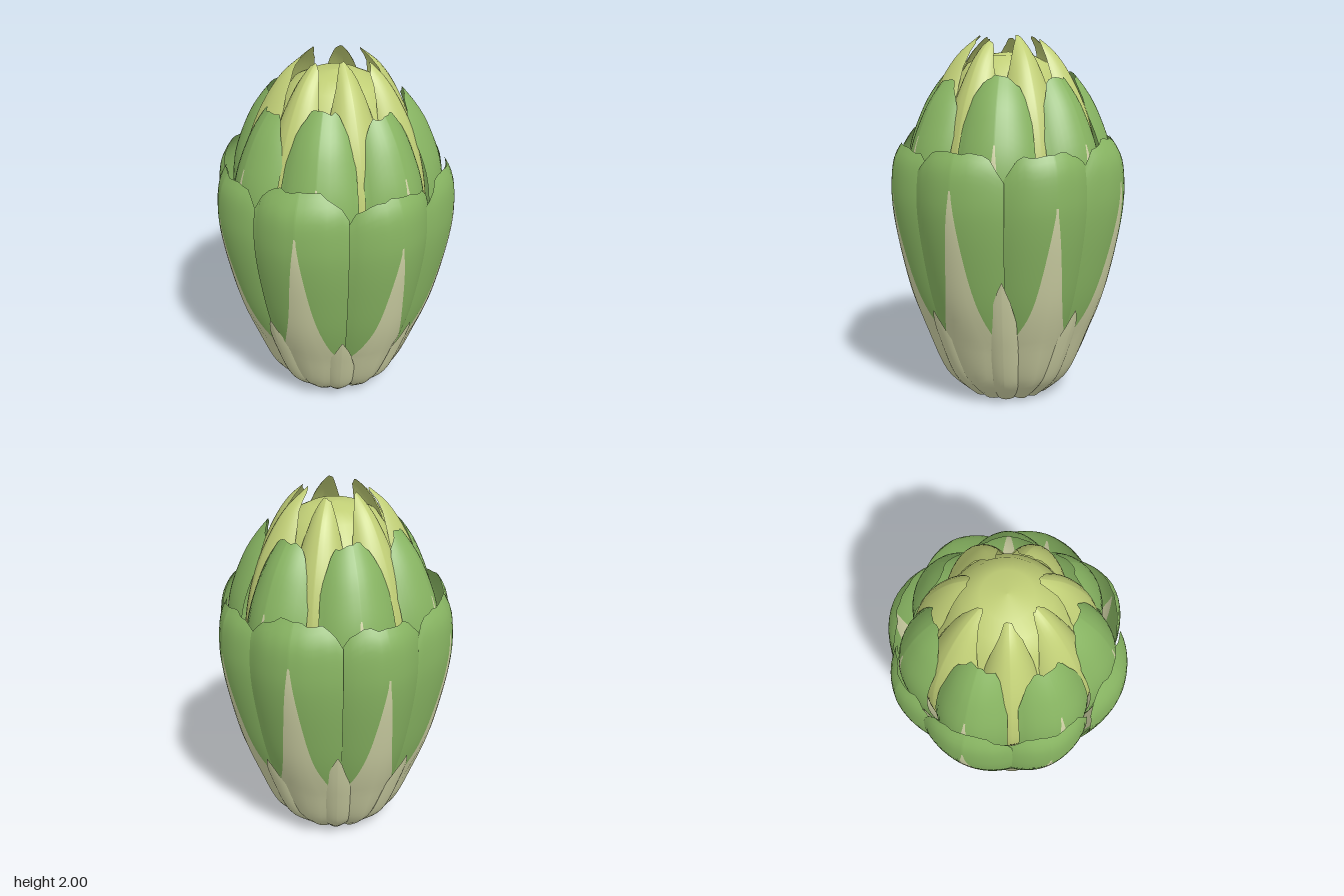
import * as THREE from 'three';

const mat = (name, color) => {
  const m = new THREE.MeshStandardMaterial({ color, side: THREE.DoubleSide });
  m.name = name;
  return m;
};

// Spline running up the middle of a leaf, as (radius, height)
const spine = (...pts) => new THREE.SplineCurve(pts.map(([r, y]) => new THREE.Vector2(r, y)));

const RIB_COLS = 4, SIDE_COLS = 7, ROWS = 40;
const COLS = RIB_COLS + 2 * SIDE_COLS;
const MIN_RIB = 0.02, MAX_RIB = 0.97;

// Half width of the pale rib, as a share of the leaf's half width
function ribWidth(y, o) {
  if (!o.ribTop) return MIN_RIB;
  const k = (o.ribTop - y) / (o.ribTop - o.ribBase);
  if (k <= 0) return MIN_RIB;
  return Math.min(MAX_RIB, Math.max(MIN_RIB, 0.44 * k + 0.56 * k ** 6));
}

// One curved leaf; columns follow the rib edge so the two colours meet cleanly
function leafGeometry(o) {
  const pos = [], blade = [], rib = [], cut = [];
  for (let j = 0; j <= ROWS; j++) {
    const v = j / ROWS;
    const h = ribWidth(o.spine.getPointAt(v * o.length).y, o);
    const half = o.half * (o.base + (1 - o.base) * Math.min(1, v * 3)); // narrower at the base
    cut.push(h);
    for (let i = 0; i <= COLS; i++) {
      let u;
      if (i < SIDE_COLS) u = -1 + (1 - h) * i / SIDE_COLS;
      else if (i <= SIDE_COLS + RIB_COLS) u = -h + 2 * h * (i - SIDE_COLS) / RIB_COLS;
      else u = h + (1 - h) * (i - SIDE_COLS - RIB_COLS) / SIDE_COLS;
      // rounded or pointed tip with a slightly ragged margin
      const ragged = o.ragged * (Math.sin(7 * u + o.seed * 2.3) + 0.6 * Math.sin(15 * u + o.seed)) * Math.min(1, 4 * Math.abs(u));
      const top = o.length * (1 - o.drop * Math.abs(u) ** o.power + ragged);
      const p = o.spine.getPointAt(Math.min(1, v * top));
      const r = p.x - o.bulge * Math.abs(u) ** 1.7 * (0.5 + 0.5 * v);
      const a = o.angle + u * half;
      pos.push(r * Math.sin(a), p.y, r * Math.cos(a));
    }
  }
  for (let j = 0; j < ROWS; j++) {
    for (let i = 0; i < COLS; i++) {
      const a = j * (COLS + 1) + i, b = a + 1, d = a + COLS + 1, c = d + 1;
      const middle = i >= SIDE_COLS && i < SIDE_COLS + RIB_COLS;
      const pale = middle ? cut[j] > MIN_RIB : cut[j + 1] >= MAX_RIB;
      (pale ? rib : blade).push(a, b, c, a, c, d);
    }
  }
  const g = new THREE.BufferGeometry();
  g.setAttribute('position', new THREE.Float32BufferAttribute(pos, 3));
  g.setIndex([...blade, ...rib]);
  g.addGroup(0, blade.length, 0);
  g.addGroup(blade.length, rib.length, 1);
  g.computeVertexNormals();
  return g;
}

export function createModel() {
  const green = mat('leafGreen', 0x88b562);
  const pale = mat('ribCream', 0xd0d3a6);
  const yellow = mat('heartYellow', 0xc2d077);
  const model = new THREE.Group();
  model.name = 'leafyCabbage';

  // A ring of leaves at the given angles in degrees; 'odd' overrides every second leaf
  function ring(name, angles, lengths, materials, opts, odd = {}) {
    const group = new THREE.Group();
    group.name = name + 'Ring';
    angles.forEach((deg, k) => {
      const mesh = new THREE.Mesh(leafGeometry({
        ...opts,
        ...(k % 2 ? odd : {}),
        seed: k + angles.length,
        angle: THREE.MathUtils.degToRad(deg),
        length: lengths[k]
      }), materials);
      mesh.name = name;
      group.add(mesh);
    });
    model.add(group);
  }

  // Big outer leaves
  ring('outerLeaf', [-1, 48, 90, 138, 181, 226, 269, 310], [1, 0.965, 0.965, 0.96, 0.99, 0.965, 0.975, 0.965], [green, pale], {
    spine: spine([0.235, 0], [0.372, 0.14], [0.482, 0.4], [0.56, 0.62], [0.615, 0.85], [0.65, 1.05], [0.659, 1.2], [0.64, 1.36], [0.57, 1.48]),
    half: 0.425, base: 0.5, bulge: 0.045, drop: 0.09, power: 3.5, ragged: 0.008,
    ribTop: 1.28, ribBase: 0.38
  }, { bulge: 0.07, ribTop: 1.18 });

  // Short pale leaf bases between the outer leaves
  ring('baseLeaf', [21, 68, 113, 158, 203, 248, 293, 338], [0.74, 0.74, 1, 0.76, 0.9, 0.78, 0.95, 0.84], [pale, pale], {
    spine: spine([0.235, 0], [0.37, 0.14], [0.48, 0.4], [0.543, 0.6], [0.585, 0.78]),
    half: 0.26, base: 0.8, bulge: 0.05, drop: 0.6, power: 1.2, ragged: 0.012
  });

  // Middle leaves
  ring('middleLeaf', [7, 57, 109, 162, 215, 267, 319], [1, 0.97, 0.99, 0.98, 0.985, 0.99, 0.965], [green, pale], {
    spine: spine([0.2, 0.03], [0.33, 0.18], [0.44, 0.45], [0.53, 0.75], [0.58, 1.05], [0.59, 1.25], [0.565, 1.42], [0.495, 1.6], [0.43, 1.71], [0.345, 1.815]),
    half: 0.4, base: 0.78, bulge: 0.065, drop: 0.13, power: 3.2, ragged: 0.007,
    ribTop: 1.5, ribBase: 0.5
  }, { bulge: 0.075 });

  // Yellow heart leaves with folded, pointed tips, one in each gap
  ring('heartLeaf', [33, 84, 136, 188, 240, 292, 341], [1, 0.965, 1, 0.97, 0.985, 0.975, 0.985], [yellow, yellow], {
    spine: spine([0.44, 0.8], [0.51, 1.1], [0.5, 1.35], [0.445, 1.58], [0.365, 1.76], [0.27, 1.9], [0.15, 2.0]),
    half: 0.46, base: 0.78, bulge: 0.1, drop: 0.38, power: 2.2, ragged: 0.011
  }, { bulge: 0.11 });

  const lathe = (name, pts, m) => {
    const mesh = new THREE.Mesh(new THREE.LatheGeometry(pts.map(([r, y]) => new THREE.Vector2(r, y)), 32), m);
    mesh.name = name;
    model.add(mesh);
  };

  // Closed heart inside the leaves
  lathe('heartCore', [[0.4, 0.8], [0.43, 1.1], [0.42, 1.35], [0.365, 1.58], [0.29, 1.75], [0.22, 1.85], [0.13, 1.895], [0, 1.91]], yellow);

  // Pale stem recessed into the base
  lathe('stem', [[0, 0.17], [0.2, 0.17], [0.29, 0.3], [0.38, 0.55], [0.4, 0.8]], pale);
  return model;
}
